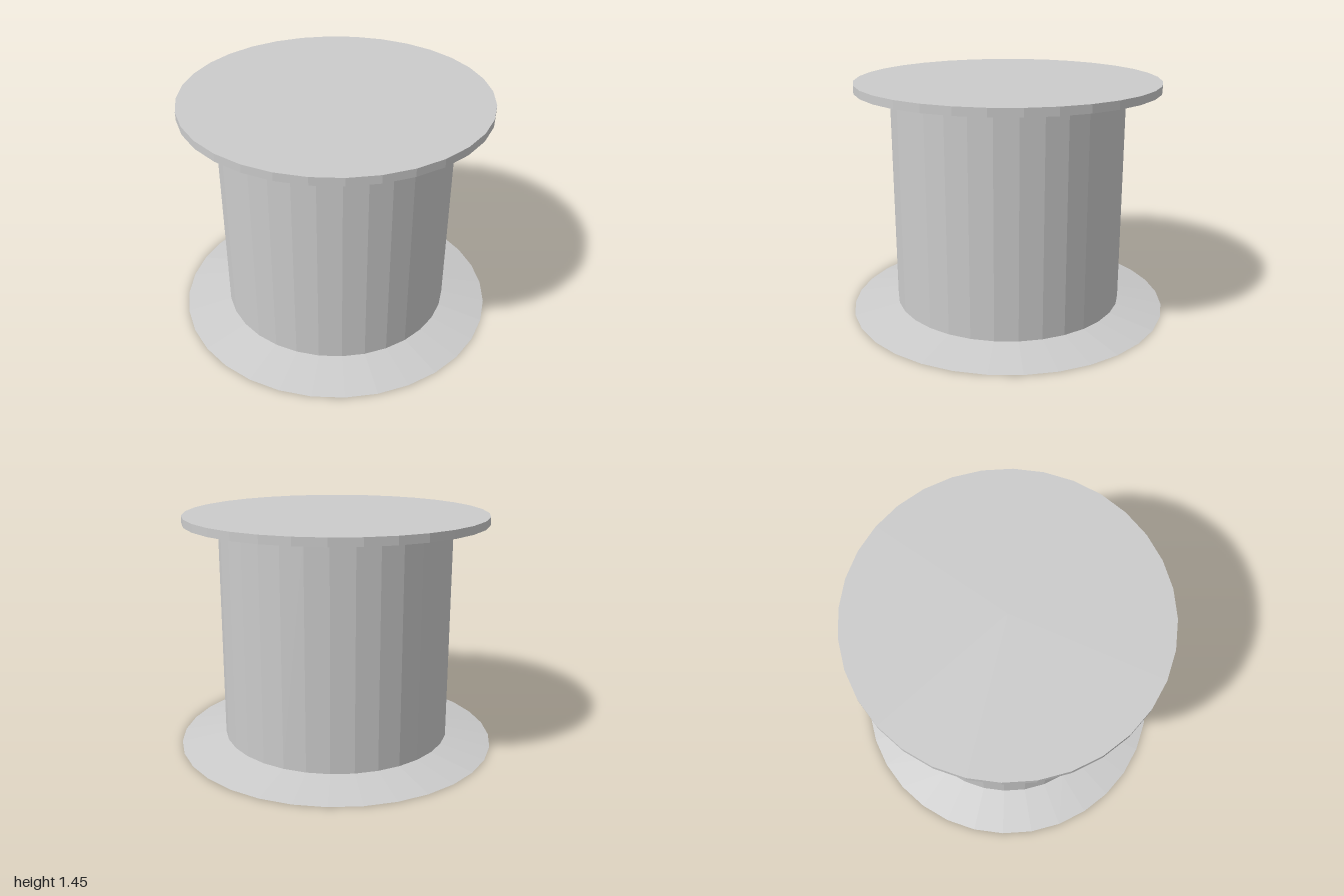
import * as THREE from 'three';

const SIDES = 32;

export function createModel() {
  const group = new THREE.Group();
  const material = new THREE.MeshStandardMaterial({ color: 0xcccccc, flatShading: true });

  // One faceted section of the spool, from height y0 to y1
  const addSection = (name, rTop, rBottom, y0, y1) => {
    const geometry = new THREE.CylinderGeometry(rTop, rBottom, y1 - y0, SIDES);
    const mesh = new THREE.Mesh(geometry, material);
    mesh.name = name;
    mesh.position.y = (y0 + y1) / 2;
    group.add(mesh);
  };

  addSection('slopedBase', 0.718, 1, 0, 0.052);
  addSection('drum', 0.718, 0.718, 0.052, 1.403);
  addSection('topDisc', 0.932, 0.932, 1.403, 1.452);

  return group;
}
